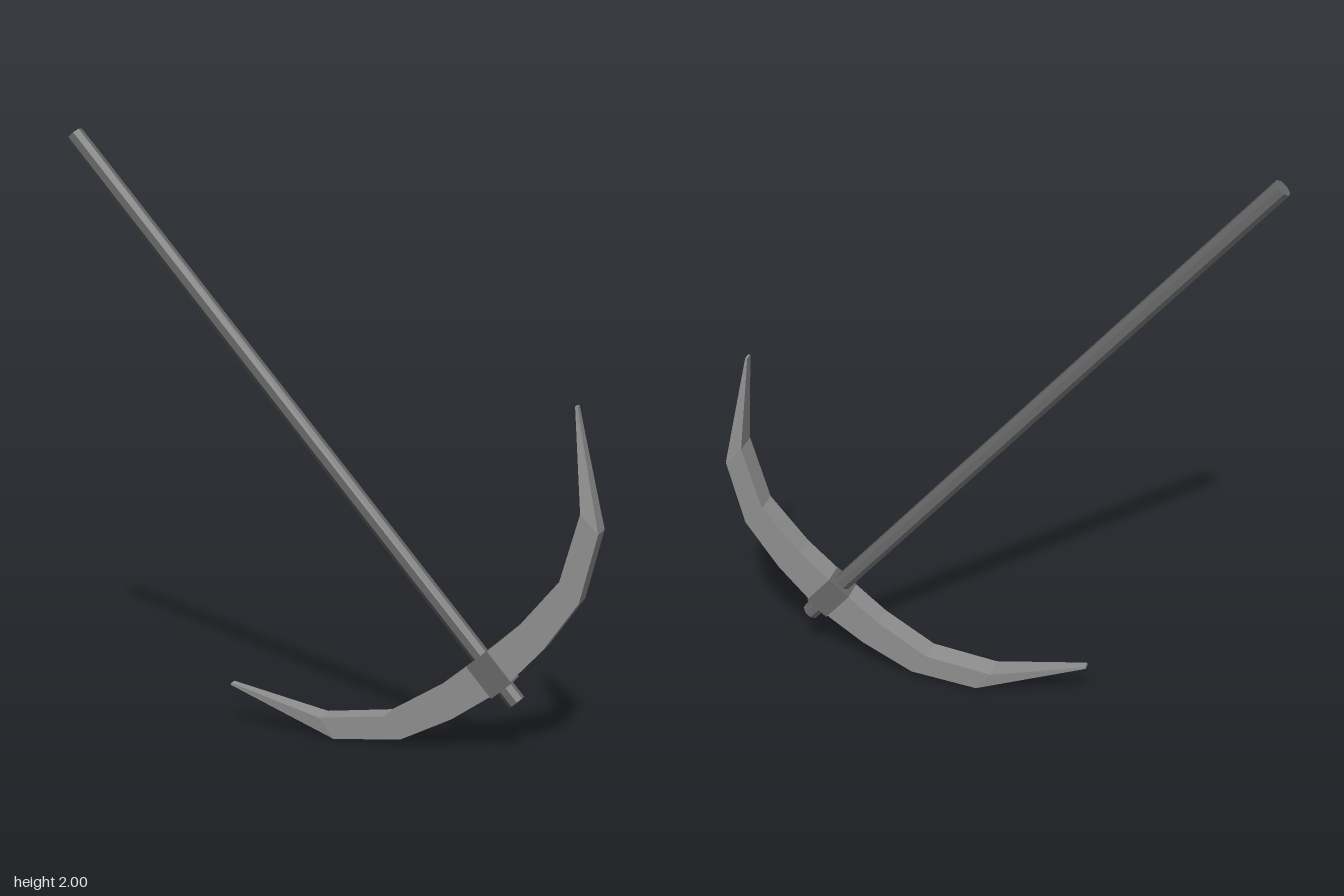
import * as THREE from 'three';

const handleMat = new THREE.MeshStandardMaterial({ color: 0x686868, flatShading: true });
handleMat.name = 'dark iron';
const headMat = new THREE.MeshStandardMaterial({ color: 0x909090, flatShading: true });
headMat.name = 'pale steel';

// Cross-sections of one arm: [outer u, outer v, inner u, inner v, half thickness]
const SECTIONS = [
  [0, -0.058, 0, 0.068, 0.042],
  [0.2, -0.036, 0.185, 0.072, 0.042],
  [0.392, 0.012, 0.387, 0.105, 0.042],
  [0.586, 0.147, 0.581, 0.232, 0.042],
  [0.785, 0.503, 0.779, 0.507, 0.014],
];

// Sweeps rectangular sections into a closed arm; side = 1 or -1 mirrors it
function armGeometry(side) {
  const pos = [];
  const index = [];
  for (const [ou, ov, iu, iv, h] of SECTIONS) {
    pos.push(side * ou, ov, h, side * iu, iv, h, side * iu, iv, -h, side * ou, ov, -h);
  }
  const quad = (a, b, c, d) => {
    if (side > 0) index.push(a, b, c, a, c, d);
    else index.push(a, c, b, a, d, c);
  };
  for (let s = 0; s < SECTIONS.length - 1; s++) {
    for (let k = 0; k < 4; k++) {
      const a = s * 4 + k, b = s * 4 + (k + 1) % 4;
      quad(a, a + 4, b + 4, b);
    }
  }
  const e = (SECTIONS.length - 1) * 4;
  quad(e, e + 3, e + 2, e + 1); // blunt tip
  const g = new THREE.BufferGeometry();
  g.setAttribute('position', new THREE.Float32BufferAttribute(pos, 3));
  g.setIndex(index);
  const flat = g.toNonIndexed();
  flat.computeVertexNormals();
  return flat;
}

export function createModel() {
  const group = new THREE.Group();
  group.name = 'pickaxe';
  const add = (name, geometry, material) => {
    const mesh = new THREE.Mesh(geometry, material);
    mesh.name = name;
    group.add(mesh);
    return mesh;
  };

  // Octagonal handle, running slightly past the head
  const bottom = -0.12, top = 2.26;
  const shaft = new THREE.CylinderGeometry(0.031, 0.031, top - bottom, 8);
  shaft.rotateY(Math.PI / 8);
  add('handle', shaft, handleMat).position.y = (top + bottom) / 2;

  // Collar where the handle passes through the head
  add('collar', new THREE.BoxGeometry(0.09, 0.13, 0.087), handleMat).position.y = 0.005;

  // Two mirrored curved arms
  add('leftArm', armGeometry(1), headMat);
  add('rightArm', armGeometry(-1), headMat);

  // Lean the tool over so that it rests on one arm
  group.rotation.z = 0.714;
  group.position.set(0.573, 0.275, 0);
  const root = new THREE.Group();
  root.add(group);
  return root;
}
